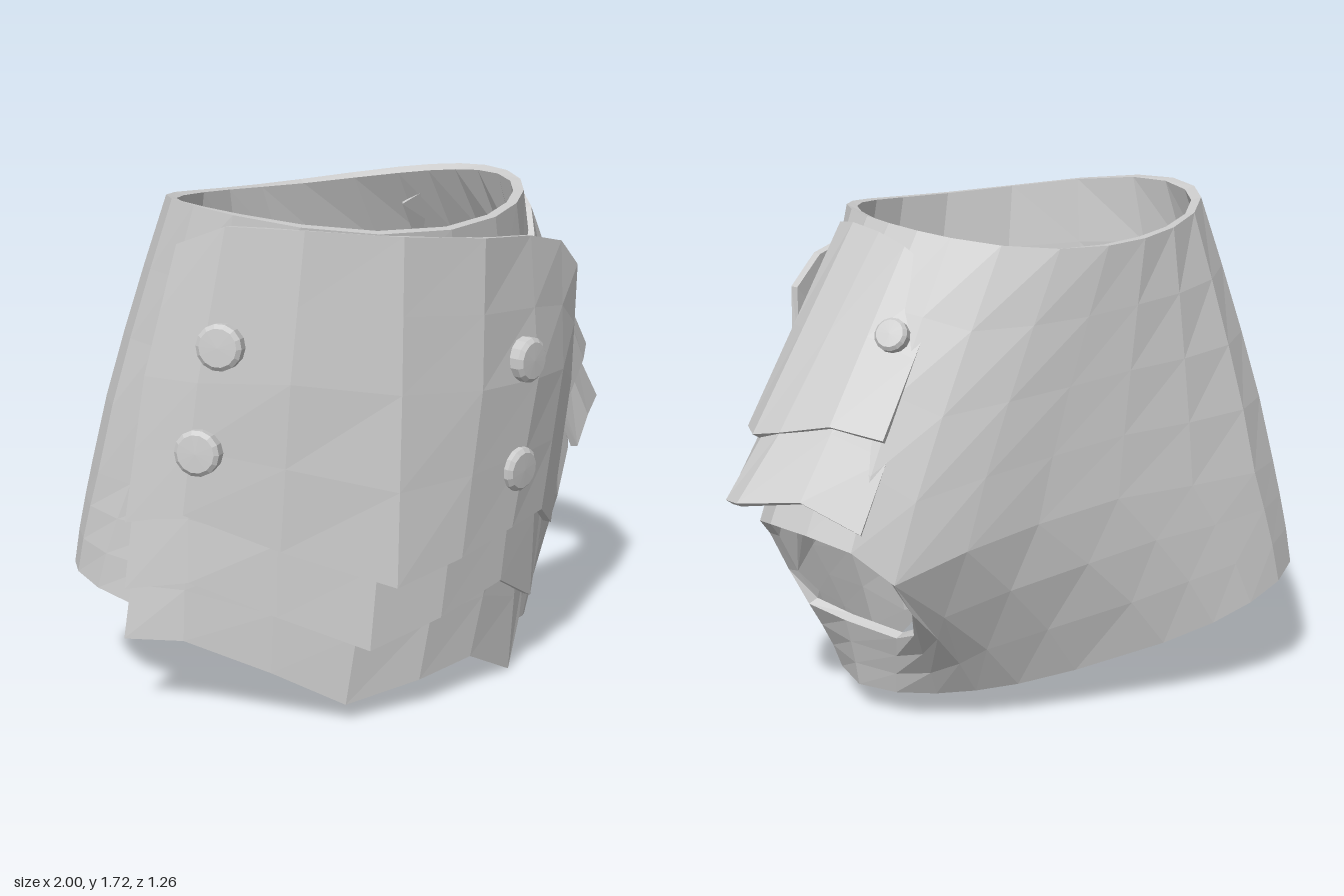
import * as THREE from 'three';
import { mergeVertices } from 'three/addons/utils/BufferGeometryUtils.js';

const material = new THREE.MeshStandardMaterial({ color: 0xcccccc, flatShading: true });
const mix = (a, b, t) => a.map((v, i) => v + (b[i] - v) * t);

// Insert n - 1 rows between two rows; ease pulls x and z ahead of y
function between(top, bottom, n, ease = 1) {
  const rows = [];
  for (let k = 1; k < n; k++) {
    const t = k / n, s = 1 - Math.pow(1 - t, ease);
    rows.push(top.map((p, i) => {
      const q = mix(p, bottom[i], s);
      q[1] = p[1] + (bottom[i][1] - p[1]) * t;
      return q;
    }));
  }
  return rows;
}

// Sheet through rows (top to bottom, left to right seen from outside), given
// thickness inward with walls along every open edge
function shell(name, rows, thickness, closed = false, skip = () => false) {
  const cols = rows[0].length, quads = [];
  for (let r = 0; r < rows.length - 1; r++) {
    for (let c = 0; c < (closed ? cols : cols - 1); c++) {
      if (skip(r, c)) continue;
      const d = (c + 1) % cols;
      const [a, b, e, f] = [rows[r][c], rows[r][d], rows[r + 1][c], rows[r + 1][d]];
      quads.push(...a, ...e, ...b, ...b, ...e, ...f);
    }
  }
  let g = new THREE.BufferGeometry();
  g.setAttribute('position', new THREE.Float32BufferAttribute(quads, 3));
  g = mergeVertices(g, 1e-4);
  const src = Array.from(g.index.array), tris = [];
  for (let i = 0; i < src.length; i += 3) {
    const [a, b, c] = src.slice(i, i + 3);
    if (a !== b && b !== c && a !== c) tris.push(a, b, c);
  }
  g.setIndex(tris);
  g.computeVertexNormals();
  const p = g.attributes.position, nrm = g.attributes.normal, n = p.count;
  const pos = Array.from(p.array), index = [...tris], edges = new Set();
  for (let i = 0; i < n * 3; i++) pos.push(p.array[i] - nrm.array[i] * thickness);
  for (let i = 0; i < tris.length; i += 3) {
    const t = tris.slice(i, i + 3);
    index.push(t[0] + n, t[2] + n, t[1] + n);
    t.forEach((a, k) => edges.add(a + '_' + t[(k + 1) % 3]));
  }
  for (const e of edges) {
    const [a, b] = e.split('_').map(Number);
    if (!edges.has(b + '_' + a)) index.push(b, a, a + n, b, a + n, b + n);
  }
  const out = new THREE.BufferGeometry();
  out.setAttribute('position', new THREE.Float32BufferAttribute(pos, 3));
  out.setIndex(index);
  out.computeVertexNormals();
  const mesh = new THREE.Mesh(out, material);
  mesh.name = name;
  return mesh;
}

// Body tube: neck ring, splitting at armhole level into an armhole and a waist
function createBody() {
  const power = (v, e) => Math.sign(v) * Math.pow(Math.abs(v), e);
  const ring = (angles, cx, cz, rx, rz, exponent, height) => angles.map((deg) => {
    const a = THREE.MathUtils.degToRad(deg);
    const x = cx + rx * power(Math.cos(a), exponent), z = cz - rz * power(Math.sin(a), exponent);
    return [x, height(x, z), z];
  });
  const around = [88, 104, 118, 132, 148, 165, 180, 197, 215, 238, 262, 286, 306, 322, 336];
  const neck = ring([-10, 4, 18, 30, 42, 54, 70, ...around], -0.09, 0.06, 0.6, 0.48, 1,
    (x, z) => 1.65 + 0.19 * (x + 0.09) ** 2 - 0.1 * x * z);
  const waist = ring([-18, 0, 18, 38, 53, 65, 76, ...around], -0.21, 0.01, 0.79, 0.36, 0.8,
    (x, z) => 0.1 + 0.34 * Math.pow(Math.max(0, (0.58 - x) / 1.58), 2.2)
      + 0.2 * Math.max(0, z + 0.05) * Math.min(1, x + 1));
  // The waist's far side swings to the back
  waist.forEach((p) => { p[2] -= 0.12 * Math.max(0, (-0.3 - p[0]) / 0.7); });
  const armTop = [[0.76, 0.5, -0.02], [0.83, 0.66, -0.08], [0.88, 0.75, -0.2], [0.87, 0.79, -0.35],
    [0.78, 0.79, -0.49], [0.66, 0.76, -0.6], [0.53, 0.65, -0.633]];
  const armLow = [armTop[0], [0.7, 0.38, -0.05], [0.6, 0.36, -0.18], [0.46, 0.34, -0.33],
    [0.43, 0.4, -0.46], [0.46, 0.52, -0.57], armTop[6]];
  const torso = [[0.28, 0.72, -0.58], [0.02, 0.76, -0.5], [-0.27, 0.8, -0.44], [-0.55, 0.8, -0.38],
    [-0.8, 0.8, -0.31], [-0.91, 0.8, -0.2], [-0.935, 0.8, -0.05], [-0.87, 0.8, 0.1], [-0.7, 0.8, 0.26],
    [-0.4, 0.8, 0.39], [-0.1, 0.8, 0.46], [0.2, 0.75, 0.42], [0.42, 0.7, 0.33], [0.58, 0.62, 0.2],
    [0.69, 0.55, 0.08]];
  const upper = [...armTop, ...torso], lower = [...armLow, ...torso];
  const rows = [neck, ...between(neck, upper, 4, 1.15), upper, lower, ...between(lower, waist, 3, 1.2), waist];
  return shell('body', rows, 0.035, true, (r) => r === 4);
}

// Flat round stud with a bevelled rim, its axis along the given normal
function createRivet(name, position, normal, radius) {
  const profile = [[0, -0.04], [1, -0.04], [1, 0.008], [0.82, 0.02], [0, 0.022]]
    .map(([r, y]) => new THREE.Vector2(r * radius, y));
  const mesh = new THREE.Mesh(new THREE.LatheGeometry(profile, 14), material);
  mesh.name = name;
  mesh.position.set(...position);
  mesh.quaternion.setFromUnitVectors(new THREE.Vector3(0, 1, 0), new THREE.Vector3(...normal).normalize());
  return mesh;
}

export function createModel() {
  const model = new THREE.Group();
  model.name = 'shoulderedCuirass';
  model.add(createBody());

  // Three overlapping breast plates with notched lower edges
  const plate = (name, ...keys) => {
    const rows = [keys[0]];
    for (let k = 1; k < keys.length; k++) rows.push(...between(keys[k - 1], keys[k], 2), keys[k]);
    model.add(shell(name, rows, 0.028));
  };
  plate('upperBreastPlate',
    [[-0.74, 1.62, 0.25], [-0.62, 1.69, 0.37], [-0.4, 1.68, 0.48], [-0.1, 1.65, 0.555],
      [0.2, 1.61, 0.51], [0.43, 1.57, 0.37], [0.59, 1.52, 0.28], [0.68, 1.42, 0.23]],
    [[-0.85, 1.2, 0.23], [-0.72, 1.2, 0.37], [-0.46, 1.2, 0.5], [-0.12, 1.15, 0.59],
      [0.18, 1.12, 0.55], [0.44, 1.1, 0.43], [0.6, 1.08, 0.3], [0.69, 1, 0.19]],
    [[-0.93, 0.72, 0.23], [-0.78, 0.77, 0.37], [-0.5, 0.65, 0.5], [-0.15, 0.52, 0.63],
      [0.1, 0.57, 0.58], [0.33, 0.61, 0.48], [0.5, 0.61, 0.36], [0.61, 0.5, 0.22]]);
  plate('middleBreastPlate',
    [[-0.86, 0.95, 0.18], [-0.74, 0.95, 0.31], [-0.48, 0.9, 0.44], [-0.16, 0.85, 0.55],
      [0.12, 0.85, 0.51], [0.38, 0.85, 0.4], [0.5, 0.85, 0.32], [0.58, 0.85, 0.23]],
    [[-0.93, 0.48, 0.2], [-0.76, 0.53, 0.35], [-0.5, 0.41, 0.46], [-0.22, 0.29, 0.57],
      [0.05, 0.35, 0.53], [0.32, 0.4, 0.42], [0.5, 0.27, 0.29], [0.56, 0.5, 0.24]]);
  plate('lowerBreastPlate',
    [[-0.86, 0.65, 0.13], [-0.74, 0.65, 0.27], [-0.48, 0.6, 0.4], [-0.2, 0.55, 0.5],
      [0.08, 0.55, 0.47], [0.32, 0.55, 0.38], [0.45, 0.55, 0.3], [0.53, 0.55, 0.22]],
    [[-0.92, 0.28, 0.14], [-0.76, 0.3, 0.28], [-0.5, 0.19, 0.4], [-0.27, 0.07, 0.48],
      [0, 0.11, 0.47], [0.22, 0.13, 0.4], [0.42, 0.005, 0.29], [0.48, 0.18, 0.25]]);

  // Two overlapping plates over the left shoulder
  plate('upperShoulderPlate',
    [[0.5, 1.54, 0.26], [0.53, 1.62, 0.17], [0.54, 1.67, 0.06], [0.52, 1.69, -0.05],
      [0.46, 1.68, -0.17], [0.4, 1.65, -0.27], [0.29, 1.56, -0.36]],
    [[0.71, 0.94, 0.15], [0.8, 1.03, 0.07], [0.89, 1.04, -0.08], [0.9, 1.06, -0.24],
      [0.83, 1.09, -0.34], [0.69, 1.13, -0.45], [0.54, 1.1, -0.545]]);
  plate('lowerShoulderPlate',
    [[0.6, 1.12, 0.13], [0.66, 1.2, 0.06], [0.72, 1.25, -0.05], [0.72, 1.28, -0.2],
      [0.67, 1.3, -0.28], [0.57, 1.3, -0.38], [0.42, 1.25, -0.465]],
    [[0.76, 0.73, 0.12], [0.83, 0.82, 0.06], [0.94, 0.84, -0.08], [1, 0.86, -0.28],
      [0.98, 0.88, -0.38], [0.8, 0.91, -0.51], [0.63, 0.82, -0.61]]);

  // Rivets
  [
    [[-0.66, 1.32, 0.41], [-0.6, 0.12, 0.8], 0.075],
    [[-0.735, 0.98, 0.395], [-0.62, 0.1, 0.78], 0.075],
    [[0.385, 1.18, 0.47], [0.45, 0.02, 0.9], 0.075],
    [[0.355, 0.81, 0.475], [0.42, -0.05, 0.9], 0.075],
    [[0.62, 1.31, 0.16], [0.75, 0.3, 0.6], 0.055],
    [[0.475, 1.4, -0.4], [0.5, 0.5, -0.7], 0.055],
  ].forEach(([p, n, r], i) => model.add(createRivet('rivet' + (i + 1), p, n, r)));

  return model;
}
